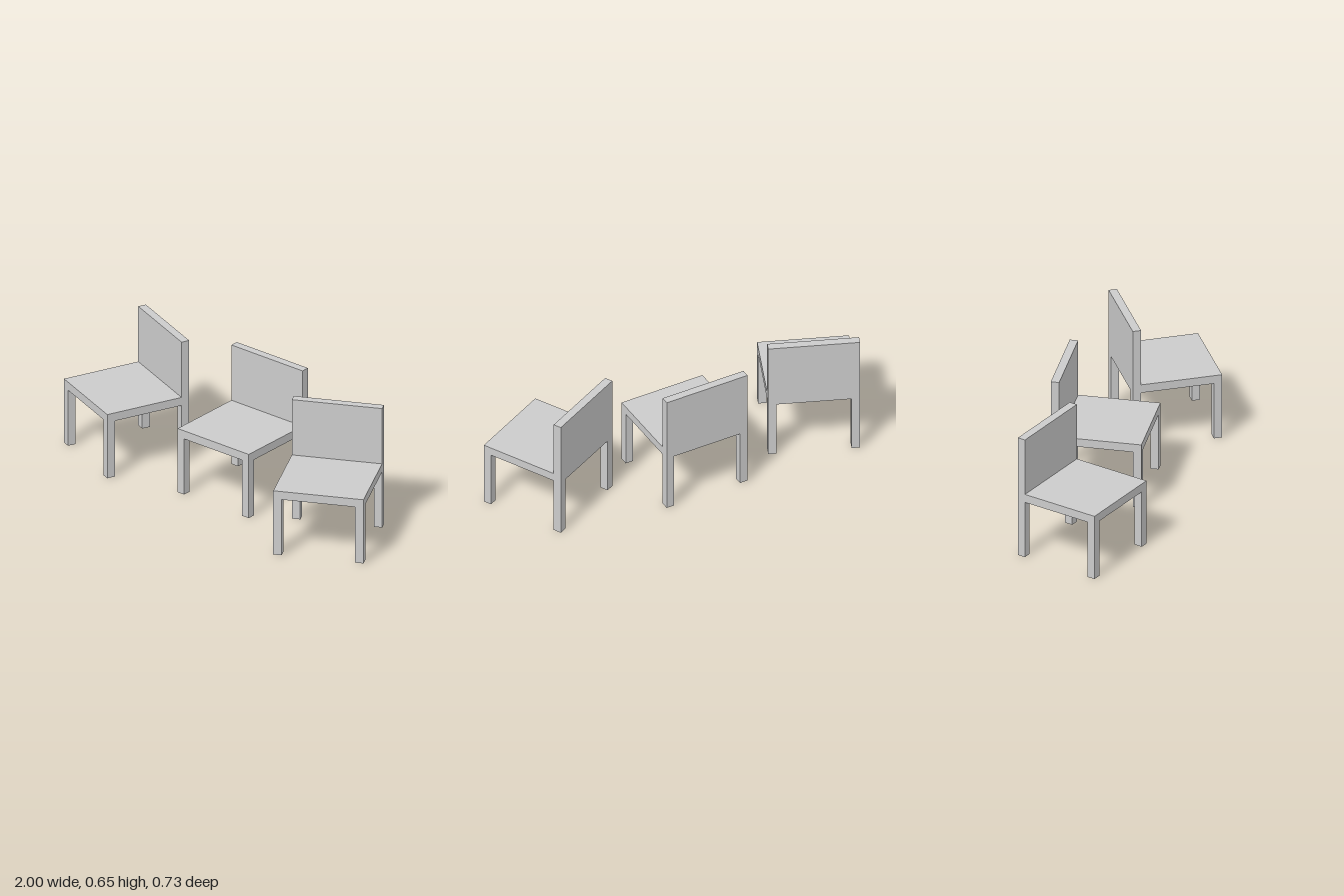
import * as THREE from 'three';

const SIZE = 0.455;     // square footprint
const T = 0.042;        // thickness of legs, seat and back
const SEAT_BOTTOM = 0.304, SEAT_TOP = 0.348, TOP = 0.65;

const material = new THREE.MeshStandardMaterial({ color: 0xcccccc, flatShading: true });

// Box placed by its centre in x and z and its bottom and top in y
function block(name, w, d, x, z, y0, y1) {
  const mesh = new THREE.Mesh(new THREE.BoxGeometry(w, y1 - y0, d), material);
  mesh.name = name;
  mesh.position.set(x, (y0 + y1) / 2, z);
  return mesh;
}

function createChair(name, x, z, angle) {
  const chair = new THREE.Group();
  chair.name = name;
  const edge = (SIZE - T) / 2;

  chair.add(block('seat', SIZE, SIZE, 0, 0, SEAT_BOTTOM, SEAT_TOP));
  chair.add(block('backrest', SIZE, T, 0, -edge, SEAT_TOP, TOP));

  // Four legs flush with the seat corners
  for (const [side, sx] of [['Left', 1], ['Right', -1]]) {
    for (const [end, sz] of [['front', 1], ['back', -1]]) {
      chair.add(block(`${end}${side}Leg`, T, T, sx * edge, sz * edge, 0, SEAT_BOTTOM));
    }
  }

  chair.position.set(x, 0, z);
  chair.rotation.y = THREE.MathUtils.degToRad(angle);
  return chair;
}

export function createModel() {
  const group = new THREE.Group();
  group.name = 'chairs';
  group.add(
    createChair('rightChair', -0.7035, -0.0665, -22.3),
    createChair('middleChair', 0.013, -0.099, 0),
    createChair('leftChair', 0.6935, 0.0585, 27),
  );
  return group;
}
